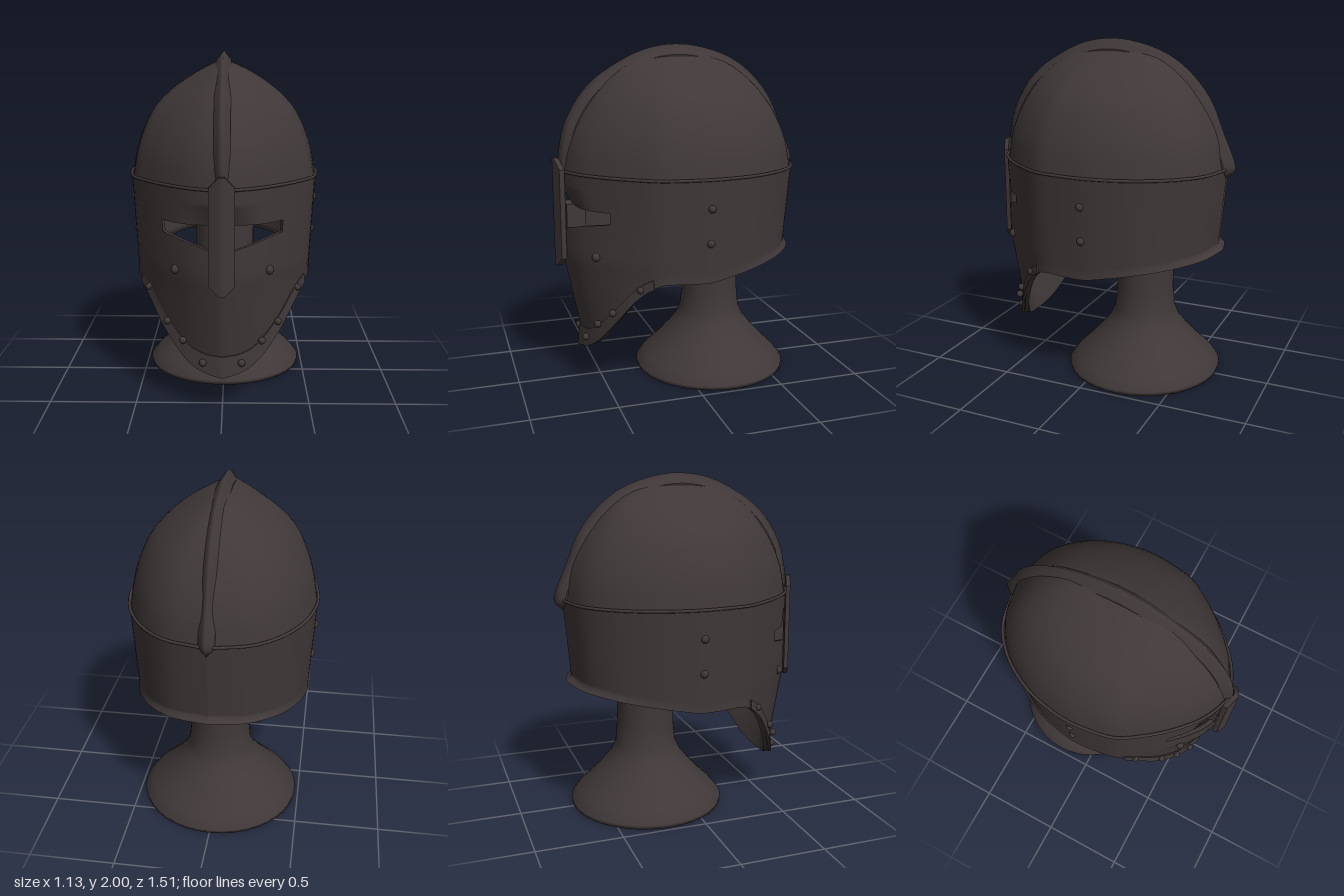
import * as THREE from 'three';
import { mergeGeometries } from 'three/addons/utils/BufferGeometryUtils.js';

const steel = new THREE.MeshStandardMaterial({ color: 0x403838, side: THREE.DoubleSide });
steel.name = 'dark iron';

const spline = (pts) => new THREE.CatmullRomCurve3(pts.map((p) => new THREE.Vector3(...p)), false, 'catmullrom');
const lerp = THREE.MathUtils.lerp;

// Half outline of the helmet from front to back: x, height of the lower edge, z
const LAST = 13;
const outline = spline([
  [0, 0.21, 0.71], [0.11, 0.235, 0.672], [0.215, 0.3, 0.61], [0.34, 0.45, 0.495], [0.44, 0.605, 0.37],
  [0.515, 0.685, 0.25], [0.545, 0.69, 0.1], [0.555, 0.69, -0.04], [0.54, 0.71, -0.17], [0.5, 0.735, -0.32],
  [0.415, 0.76, -0.48], [0.31, 0.78, -0.595], [0.19, 0.79, -0.665], [0, 0.8, -0.705],
]);

// i runs from -13 (back) over 0 (front) to 13 (back)
function station(i) {
  const p = outline.getPoint(Math.min(1, Math.abs(i) / LAST));
  if (i < 0) p.x = -p.x;
  return p;
}

// Point on the helmet wall at station i and height y, pushed in by depth
function skin(i, y, depth = 0) {
  const p = station(i);
  const drop = 1.28 - y;
  const x = p.x * (1 - 0.1 * Math.min(drop, 0.59));
  let z = p.z < 0 ? p.z * (1 - 0.12 * drop) : p.z * (1 - 0.28 * Math.max(0, 0.8 - y));
  // Hollow under the brow beside the nose guard
  if (y > 1.08 && y < 1.2) z -= 0.07 * Math.max(0, 1 - Math.abs(i) / 2.2) * (1.2 - y) / 0.12;
  return new THREE.Vector3(x * (1 - depth), y, z * (1 - depth));
}

// Surface grid over u (rightwards) and v (downwards)
function grid(fn, nu, nv) {
  const pos = [], index = [];
  for (let a = 0; a <= nu; a++) for (let b = 0; b <= nv; b++) pos.push(...fn(a / nu, b / nv).toArray());
  for (let a = 0; a < nu; a++) {
    for (let b = 0; b < nv; b++) {
      const k = a * (nv + 1) + b, m = k + nv + 1;
      index.push(k, k + 1, m + 1, k, m + 1, m);
    }
  }
  const g = new THREE.BufferGeometry();
  g.setAttribute('position', new THREE.Float32BufferAttribute(pos, 3));
  g.setIndex(index);
  g.computeVertexNormals();
  return g;
}

// Closed plate: fn(u, v, d) with d = 0 outside and d = 1 inside
function slab(fn, nu, nv) {
  return mergeGeometries([
    grid((u, v) => fn(u, v, 0), nu, nv),
    grid((u, v) => fn(1 - u, v, 1), nu, nv),
    grid((u, v) => fn(u, 0, 1 - v), nu, 1),
    grid((u, v) => fn(u, 1, v), nu, 1),
    grid((u, v) => fn(0, v, 1 - u), 1, nv),
    grid((u, v) => fn(1, v, u), 1, nv),
  ]);
}

export function createModel() {
  const model = new THREE.Group();
  const add = (name, geometry) => {
    const mesh = new THREE.Mesh(geometry, steel);
    mesh.name = name;
    model.add(mesh);
    return mesh;
  };
  const THICK = 0.04;

  // Stand, slightly oval
  const standProfile = [
    [0, 0], [0.475, 0], [0.48, 0.025], [0.43, 0.085], [0.36, 0.15], [0.28, 0.235], [0.22, 0.31],
    [0.19, 0.38], [0.178, 0.5], [0.178, 0.62], [0.185, 0.78], [0.185, 1.3], [0.17, 1.7], [0.08, 1.8], [0, 1.81],
  ].map((p) => new THREE.Vector2(...p));
  const stand = add('stand', new THREE.LatheGeometry(standProfile, 40));
  stand.position.z = -0.213;
  stand.scale.z = 0.97;

  // Skull dome: width scale, height, depth scale
  const rows = spline([
    [0, 1.95, 0.12], [0.21, 1.9, 0.41], [0.5, 1.8, 0.62], [0.73, 1.68, 0.77],
    [0.86, 1.55, 0.88], [0.94, 1.42, 0.95], [0.985, 1.28, 0.985],
  ]);
  add('skullDome', slab((u, v, d) => {
    const p = station(lerp(-LAST, LAST, u)), r = rows.getPoint(v), s = 1 - THICK * d;
    return new THREE.Vector3(p.x * r.x * s, r.y - 0.03 * d * (1 - v), p.z * r.z * s);
  }, 78, 18));

  // Raised bead between dome and wall
  const beadPath = [];
  for (let i = -LAST; i < LAST; i += 0.5) beadPath.push(skin(i, 1.285));
  add('browBead', new THREE.TubeGeometry(new THREE.CatmullRomCurve3(beadPath, true), 104, 0.009, 8, true));

  // Wall in bands, leaving the eye slit open at the front
  const SLIT = 3;
  const slitTop = () => 1.085;
  const slitBottom = (i) => 0.94 + 0.08 * Math.min(1, Math.abs(i) / SLIT);
  const edge = (i) => station(i).y;
  const flareAt = (i) => 0.008 + 0.045 * Math.max(0, (Math.abs(i) - 8) / 5);
  const band = (i0, i1, top, bottom, flare = () => 0) => slab((u, v, d) => {
    const i = lerp(i0, i1, u);
    const out = flare(i) * Math.max(0, v * 8 - 7);
    return skin(i, lerp(top(i), bottom(i), v), THICK * d - out);
  }, Math.round((i1 - i0) * 3), 16);
  add('upperWall', band(-LAST, LAST, () => 1.285, slitTop));
  add('leftWall', band(SLIT, LAST, slitTop, slitBottom));
  add('rightWall', band(-LAST, -SLIT, slitTop, slitBottom));
  add('lowerWall', band(-LAST, LAST, slitBottom, edge, flareAt));

  // Riveted trim along the chin, widest and most flared at the tip
  const TRIM = 4.7;
  add('chinTrim', slab((u, v, d) => {
    const i = lerp(-TRIM, TRIM, u), low = edge(i), taper = 1 - Math.abs(i) / TRIM;
    const y = lerp(low + 0.05 + 0.07 * taper, low - 0.003, v);
    return skin(i, y, 0.03 * d - 0.014 - v * (0.012 + 0.045 * taper));
  }, 40, 4));

  // Post closing the slit behind the nose guard
  const post = add('nosePost', new THREE.BoxGeometry(0.13, 0.17, 0.11));
  post.position.set(0, 1.01, 0.635);

  // Nose guard with a central ridge
  add('noseGuard', slab((u, v, d) => {
    const s = u * 2 - 1, a = Math.abs(s);
    const cut = Math.max(0, a - 0.25) / 0.75;
    const y = lerp(1.36 - 0.06 * cut, 0.72 + 0.05 * cut, v);
    return new THREE.Vector3(s * 0.07, y, 0.757 - 0.03 * a - d * 0.03);
  }, 8, 8));

  // Crest running from back to front over the dome
  const crestLine = spline([
    [0, 1.23, -0.705], [0, 1.3, -0.755], [0, 1.5, -0.675], [0, 1.68, -0.595], [0, 1.84, -0.455], [0, 1.945, -0.28],
    [0, 2.0, -0.04], [0, 1.975, 0.19], [0, 1.87, 0.41], [0, 1.75, 0.56], [0, 1.58, 0.67], [0, 1.42, 0.715], [0, 1.3, 0.725],
  ]);
  const crestCentre = new THREE.Vector3(0, 1.3, 0);
  add('crest', slab((u, v, d) => {
    const s = u * 2 - 1, p = crestLine.getPoint(v);
    const inward = crestCentre.clone().sub(p).normalize();
    p.addScaledVector(inward, 0.06 * Math.abs(s) + 0.03 * d);
    p.x = 0.045 * s;
    return p;
  }, 4, 48));

  // Rivets: station, height, radius, outward push
  const rivets = [
    [1.0, 0.29, 0.021, 0.05], [2.1, 0.405, 0.021, 0.04], [2.85, 0.495, 0.021, 0.035], [4.1, 0.655, 0.02, 0.02],
    [2.45, 0.82, 0.026, 0], [6.95, 1.12, 0.024, -0.01], [6.95, 0.92, 0.024, -0.01],
  ];
  for (const [i, y, r, push] of rivets) {
    for (const side of [1, -1]) {
      add('rivet', new THREE.SphereGeometry(r, 12, 8)).position.copy(skin(i * side, y, -push));
    }
  }
  return model;
}
